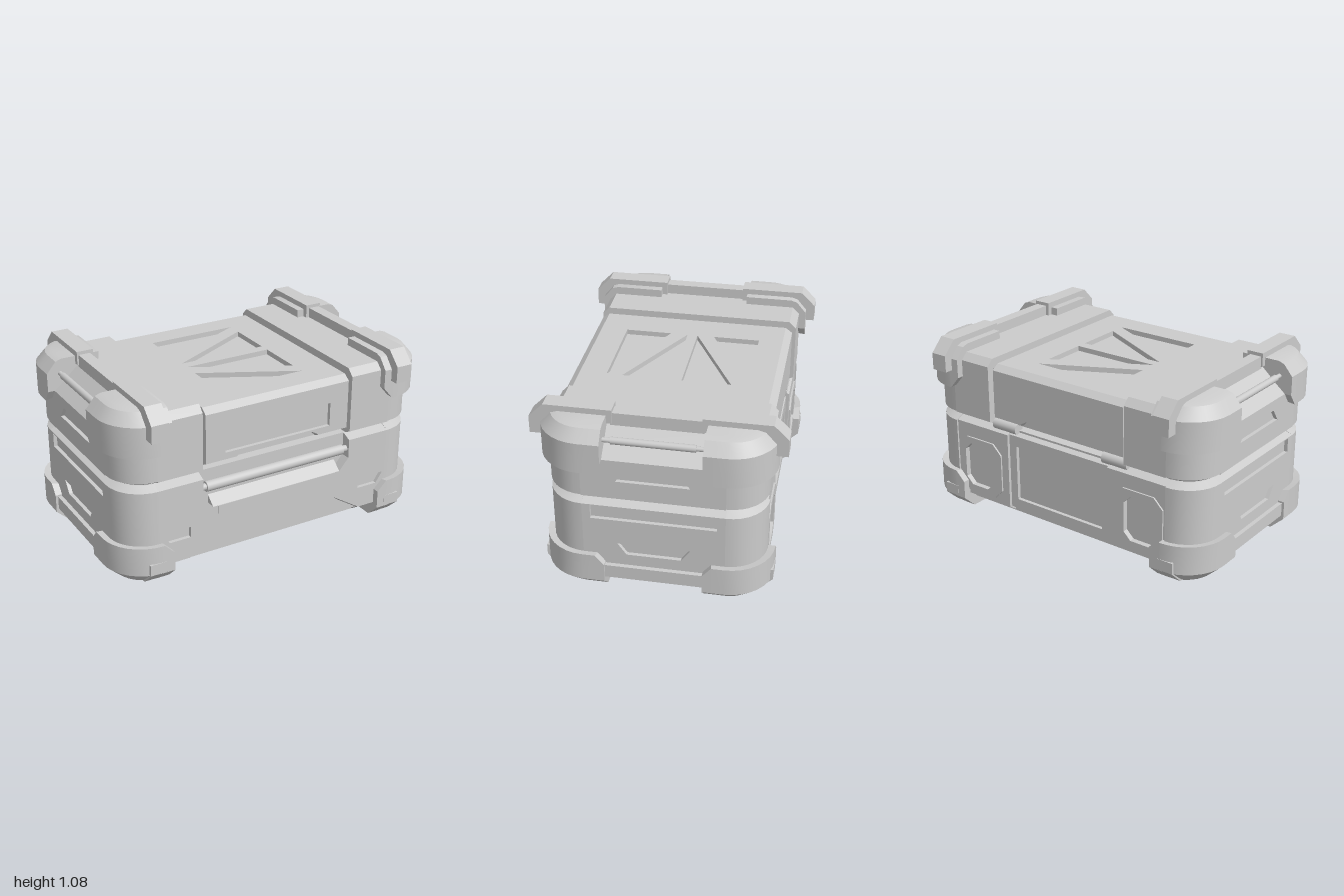
import * as THREE from 'three';
import { toCreasedNormals, mergeGeometries } from 'three/addons/utils/BufferGeometryUtils.js';

const mat = new THREE.MeshStandardMaterial({ color: 0xcccccc });

export function createModel() {
  const model = new THREE.Group();

  const add = (name, geo, x = 0, y = 0, z = 0) => {
    const mesh = new THREE.Mesh(geo, mat);
    mesh.name = name;
    mesh.position.set(x, y, z);
    model.add(mesh);
    return mesh;
  };
  // Box from minimum to maximum corner
  const box = (name, [x0, x1], [y0, y1], [z0, z1]) =>
    add(name, new THREE.BoxGeometry(x1 - x0, y1 - y0, z1 - z0), (x0 + x1) / 2, (y0 + y1) / 2, (z0 + z1) / 2);
  const toShape = (pts, holes = []) => {
    const shape = new THREE.Shape(pts.map(p => new THREE.Vector2(...p)));
    shape.holes = holes.map(h => new THREE.Path(h.map(p => new THREE.Vector2(...p))));
    return shape;
  };
  const extrude = (shape, depth) => new THREE.ExtrudeGeometry(shape, { depth, bevelEnabled: false });
  const rect = (x0, x1, y0, y1) => [[x0, y0], [x1, y0], [x1, y1], [x0, y1]];
  const flipX = pts => pts.map(([x, y]) => [-x, y]).reverse();
  const octagon = (x0, x1, y0, y1, c) => [[x0 + c, y0], [x1 - c, y0], [x1, y0 + c], [x1, y1 - c],
    [x1 - c, y1], [x0 + c, y1], [x0, y1 - c], [x0, y0 + c]];

  // Wall plate with shallow recesses; its top and bottom rims slope back to the core
  function plate(name, pts, holes, [bottom, drop], [top, rise], dist, turn, depth = 0.06) {
    const geo = extrude(toShape(pts, holes), depth);
    const p = geo.attributes.position;
    for (let i = 0; i < p.count; i++) {
      if (p.getZ(i) > 0.001) continue;
      if (Math.abs(p.getY(i) - top) < 1e-4) p.setY(i, top + rise);
      if (Math.abs(p.getY(i) - bottom) < 1e-4) p.setY(i, bottom - drop);
    }
    const parts = [geo, ...holes.map(h => extrude(toShape(h), depth - 0.022))];
    const merged = mergeGeometries(parts.map(g => g.translate(0, 0, dist - depth)));
    merged.computeVertexNormals();
    add(name, merged).rotation.y = turn;
  }

  // Bar with a z-y profile, running along x for the given width
  function strip(name, profile, width, x, sz) {
    const geo = extrude(toShape(profile), width);
    geo.rotateY(-Math.PI / 2);
    geo.translate(width / 2, 0, 0);
    if (sz < 0) geo.rotateY(Math.PI);
    add(name, geo, x);
  }

  // Block with one rounded vertical corner; levels are [y, inset, y at the inner edges]
  function cornerBlock(name, x0, x1, z0, z1, r, levels, sx, sz) {
    const pos = [], idx = [];
    let n = 0;
    for (const [y, inset, innerY = y] of levels) {
      const X = x1 - inset, Z = z1 - inset, R = r - inset;
      const loop = [[x0, z0, innerY], [x0, Z, innerY]];
      if (x1 - r > x0 + 0.01) loop.push([Math.min(x0 + 0.06, x1 - r - 0.005), Z, y]);
      for (let i = 0; i <= 8; i++) {
        const a = i / 8 * Math.PI / 2;
        loop.push([X - R + R * Math.sin(a), Z - R + R * Math.cos(a), y]);
      }
      if (z1 - r > z0 + 0.01) loop.push([X, z0 + 0.05, y]);
      loop.push([X, z0, innerY]);
      n = loop.length;
      loop.forEach(([x, z, h]) => pos.push(x * sx, h, z * sz));
    }
    const tri = (a, b, c) => (sx * sz > 0 ? idx.push(a, b, c) : idx.push(a, c, b));
    const last = (levels.length - 1) * n;
    for (let l = 0; l < last; l += n) for (let i = 0; i < n; i++) {
      const j = (i + 1) % n;
      tri(l + i, l + j, l + n + j);
      tri(l + i, l + n + j, l + n + i);
    }
    for (let i = 1; i < n - 1; i++) {
      tri(0, i + 1, i);
      tri(last, last + i, last + i + 1);
    }
    const geo = new THREE.BufferGeometry();
    geo.setAttribute('position', new THREE.Float32BufferAttribute(pos, 3));
    geo.setIndex(idx);
    add(name, toCreasedNormals(geo, 0.45));
  }

  // Carrying bar: thick grip on a thin pin
  function bar(name, grip, pin, r, x, y, z, alongX) {
    const geo = mergeGeometries([[r, grip], [r * 0.65, pin]].map(([q, len]) => new THREE.CylinderGeometry(q, q, len, 20)));
    alongX ? geo.rotateZ(Math.PI / 2) : geo.rotateX(Math.PI / 2);
    add(name, geo, x, y, z);
  }

  // Cores behind the wall plates
  box('baseCore', [-0.9, 0.9], [0.06, 0.59], [-0.4, 0.4]);
  box('baseCoreWide', [-0.76, 0.76], [0.06, 0.59], [-0.54, 0.54]);
  box('lidCore', [-0.84, 0.84], [0.63, 0.94], [-0.55, 0.55]);

  // Four corners: body columns, guards, straps and foot clips
  const strap = [[0.24, 1], [0.55, 1], [0.6, 0.9], [0.69, 0.9], [0.69, 1], [0.61, 1.08], [0.24, 1.08]];
  const rail = [[0.4, 0.004], [0.557, 0.004], [0.642, 0.085], [0.642, 0.15], [0.6, 0.15], [0.6, 0.1], [0.4, 0.1]];
  for (const sx of [-1, 1]) for (const sz of [-1, 1]) {
    cornerBlock('baseCorner', 0.75, 0.96, 0.39, 0.6, 0.21,
      [[0.06, 0.05], [0.1, 0], [0.565, 0], [0.59, 0.05]], sx, sz);
    cornerBlock('lidCorner', 0.75, 0.96, 0.39, 0.6, 0.21,
      [[0.6, 0.04], [0.625, 0], [0.96, 0], [1, 0.04]], sx, sz);
    cornerBlock('lowerGuard', 0.68, 1, 0.27, 0.64, 0.25,
      [[0.004, 0.08], [0.08, 0], [0.25, 0, 0.19]], sx, sz);
    cornerBlock('upperGuard', 0.68, 1, 0.27, 0.64, 0.25,
      [[0.79, 0, 0.86], [0.97, 0], [1.035, 0.055], [1.047, 0.09]], sx, sz);
    strip('strapEnd', strap, 0.1, sx * 0.775, sz);
    strip('footClip', rail, 0.1, sx * 0.78, sz);
  }

  // Base front with handle notch above and a set-back apron below
  const slot = [[0.56, 0.23], [0.69, 0.23], [0.735, 0.295], [0.56, 0.295]];
  const [b0, b1] = [[0.1, 0.04], [0.565, 0.025]];
  const half = [[0.57, 0.1], [0.75, 0.1], [0.75, 0.565], [0.48, 0.565], [0.48, 0.45], [0.42, 0.38]];
  plate('baseFront', [[0.38, 0.22], ...half, ...flipX(half), [-0.38, 0.22]],
    [slot, flipX(slot)], b0, b1, 0.6, 0);
  plate('frontApron', rect(-0.58, 0.58, 0.1, 0.23), [], b0, [0.23, 0], 0.588, 0);
  bar('frontHandle', 0.9, 0.97, 0.03, 0, 0.5, 0.568, true);
  strip('handleScoop', [[0.54, 0.37], [0.6, 0.37], [0.6, 0.38], [0.54, 0.43]], 0.84, 0, 1);
  box('handleLip', [-0.39, 0.39], [0.33, 0.38], [0.58, 0.604]);

  // Base back: framed hatches beside a set-back panel
  for (const s of [1, -1]) {
    const side = pts => (s > 0 ? pts : flipX(pts));
    const hatch = side(octagon(0.48, 0.69, 0.17, 0.44, 0.045));
    plate('baseBack', side(rect(0.36, 0.75, 0.1, 0.565)), [hatch], b0, b1, 0.59, Math.PI);
    const frame = extrude(toShape(side(octagon(0.41, 0.735, 0.13, 0.48, 0.06)), [hatch]), 0.012);
    frame.translate(0, 0, 0.588);
    add('hatchFrame', frame).rotation.y = Math.PI;
  }
  plate('backPanel', rect(-0.36, 0.36, 0.1, 0.565), [rect(-0.31, 0.31, 0.16, 0.5)], b0, b1, 0.572, Math.PI);

  // Lid front and back walls: raised ends with a lower middle
  for (const turn of [0, Math.PI]) {
    for (const x of [-0.75, 0.48])
      plate('lidEndWall', rect(x, x + 0.27, 0.62, 0.96), [], [0.62, 0.02], [0.96, 0.04], 0.6, turn, 0.04);
    plate('lidMiddleWall', [[-0.46, 0.65], [-0.27, 0.65], [-0.22, 0.68], [0.22, 0.68], [0.27, 0.65], [0.46, 0.65],
      [0.46, 0.94], [-0.46, 0.94]], turn ? [] : [rect(-0.34, 0.34, 0.69, 0.83)],
      [0.65, 0.02], [0.94, 0.03], turn ? 0.58 : 0.595, turn, 0.04);
  }

  // Lid top with sunken triangles
  const triangles = [[[-0.27, 0.4], [0.27, 0.4], [-0.27, 0.13]], [[0.27, 0.31], [0.27, 0.03], [-0.27, 0.03]]];
  const holes = [1, -1].flatMap(s => triangles.map(t => t.map(([x, y]) => [x, s * y])));
  const deck = extrude(toShape(rect(-0.46, 0.46, -0.555, 0.54), holes), 0.035);
  deck.rotateX(-Math.PI / 2);
  add('lidDeck', deck, 0, 0.935);

  // Both ends
  for (const s of [-1, 1]) {
    const span = (a, b) => (s > 0 ? [a, b] : [-b, -a]);
    const turn = s * Math.PI / 2;
    plate('baseSide', rect(-0.39, 0.39, 0.1, 0.565),
      [rect(-0.345, 0.345, 0.475, 0.56), [[-0.15, 0.25], [0.15, 0.25], [0.2, 0.32], [-0.2, 0.32]]],
      b0, b1, 0.96, turn);
    box('sideBand', span(0.9, 0.985), [0.1, 0.18], [-0.28, 0.28]);
    plate('lidSide', rect(-0.39, 0.39, 0.62, 0.86),
      [[[-0.2, 0.73], [0.2, 0.73], [0.15, 0.8], [-0.15, 0.8]]], [0.62, 0.02], [0.86, 0.05], 0.96, turn);
    const profile = [[0.75, 0.6], [0.9, 0.6], [0.9, 0.91], [0.8, 1], [0.75, 1]];
    add('lidEndBlock', extrude(toShape(s > 0 ? profile : flipX(profile)), 0.78), 0, 0, -0.39);
    box('lidEndDeck', span(0.48, 0.76), [0.6, 1], [-0.56, 0.56]);
    box('strapMiddle', span(0.745, 0.815), [0.98, 1.06], [-0.25, 0.25]);
    bar('sideHandle', 0.45, 0.56, 0.02, s * 0.92, 0.96, 0, false);
    // Rear hinge
    const hinge = new THREE.CylinderGeometry(0.034, 0.034, 0.17, 20);
    hinge.rotateZ(Math.PI / 2);
    add('hinge', hinge, s * 0.395, 0.6, -0.545);
  }
  return model;
}
